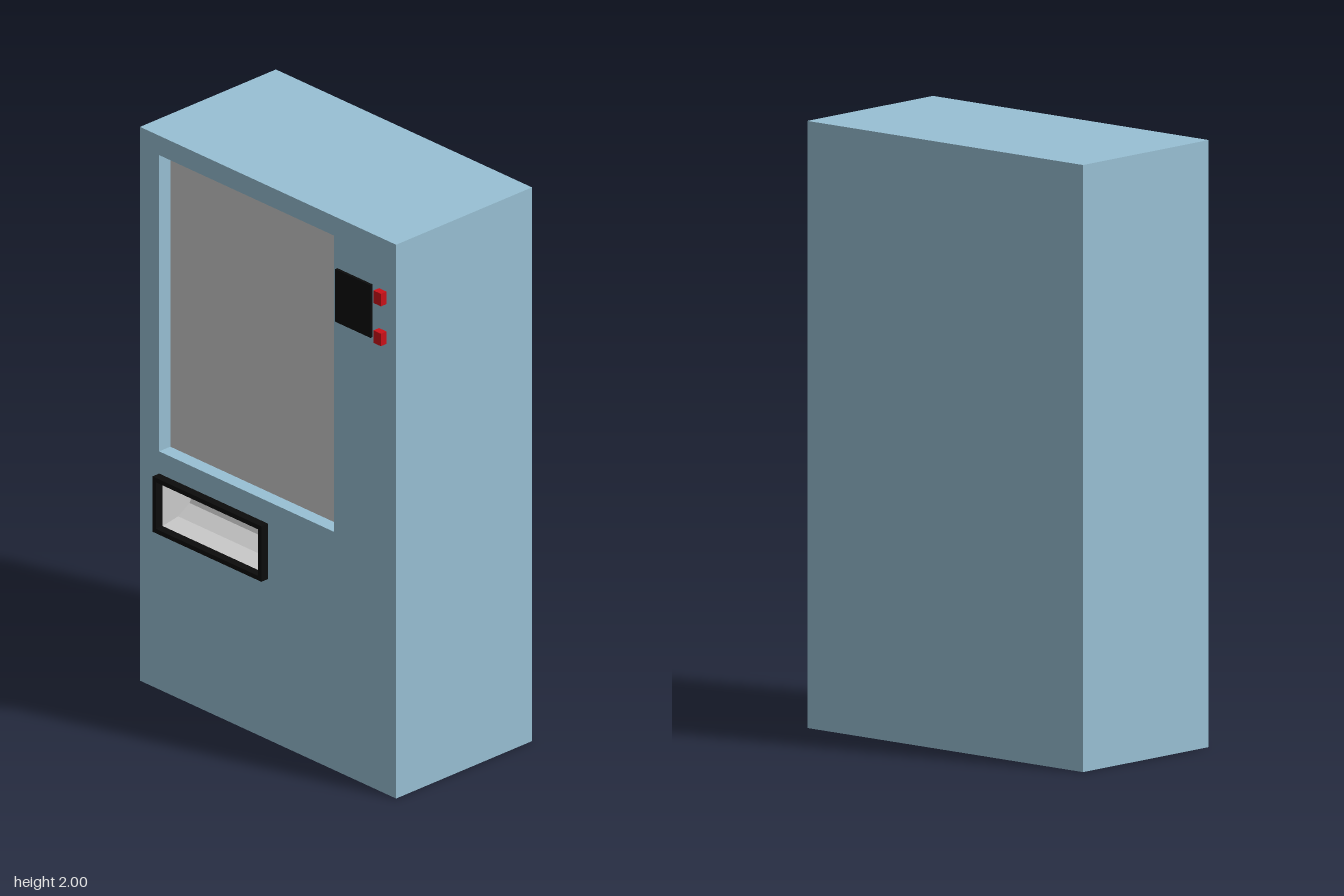
import * as THREE from 'three';

const FRONT = 0.29, BACK = -0.32;
const WINDOW = { x0: -0.51, x1: 0.31, y0: 0.86, y1: 1.93 };
const TRAY = { x0: -0.51, x1: 0, y0: 0.58, y1: 0.78 };
const BAR = 0.016;
const HOLE = { x0: TRAY.x0 + BAR, x1: TRAY.x1 - BAR, y0: TRAY.y0 + BAR, y1: TRAY.y1 - BAR };

const paint = (color, side = THREE.FrontSide) =>
  new THREE.MeshStandardMaterial({ color, side, flatShading: true });

function rect(Type, { x0, x1, y0, y1 }) {
  return new Type([[x0, y0], [x1, y0], [x1, y1], [x0, y1]].map(p => new THREE.Vector2(...p)));
}

// Box between two corners, keeping only the listed sides (0..5: +x -x +y -y +z -z)
function boxSides({ x0, x1, y0, y1 }, z0, z1, sides = [0, 1, 2, 3, 4, 5]) {
  const g = new THREE.BoxGeometry(x1 - x0, y1 - y0, z1 - z0);
  const index = Array.from(g.index.array);
  g.setIndex(sides.flatMap(s => index.slice(s * 6, s * 6 + 6)));
  g.clearGroups();
  return g.translate((x0 + x1) / 2, (y0 + y1) / 2, (z0 + z1) / 2);
}

export function createModel() {
  const model = new THREE.Group();
  const add = (name, geometry, material) => {
    const mesh = new THREE.Mesh(geometry, material);
    mesh.name = name;
    model.add(mesh);
  };

  const blue = 0x98c0d4;
  const black = paint(0x0c0c0c);
  const red = paint(0xcc1018);

  // Cabinet: open-fronted shell and a front panel with two openings
  const outline = { x0: -0.6, x1: 0.6, y0: 0, y1: 2 };
  add('cabinetShell', boxSides(outline, BACK, FRONT, [0, 1, 2, 3, 5]), paint(blue));
  const panel = rect(THREE.Shape, outline);
  panel.holes.push(rect(THREE.Path, WINDOW), rect(THREE.Path, HOLE));
  add('frontPanel', new THREE.ShapeGeometry(panel).translate(0, 0, FRONT), paint(blue));

  // Recessed display window
  const paneZ = FRONT - 0.05;
  add('windowReveal', boxSides(WINDOW, paneZ, FRONT, [0, 1, 2, 3]), paint(blue, THREE.BackSide));
  add('windowPane', new THREE.ShapeGeometry(rect(THREE.Shape, WINDOW)).translate(0, 0, paneZ), paint(0xc0c0c0));

  // Delivery tray: raised frame around a rounded trough
  const frame = rect(THREE.Shape, TRAY);
  frame.holes.push(rect(THREE.Path, HOLE));
  add('trayFrame', new THREE.ExtrudeGeometry(frame, { depth: 0.03, bevelEnabled: false })
    .translate(0, 0, FRONT), black);
  const trough = new THREE.CylinderGeometry(1, 1, HOLE.x1 - HOLE.x0, 6, 1, false, Math.PI / 2, Math.PI)
    .rotateZ(Math.PI / 2)
    .scale(1, (HOLE.y1 - HOLE.y0) / 2, 0.14)
    .translate((HOLE.x0 + HOLE.x1) / 2, (HOLE.y0 + HOLE.y1) / 2, FRONT);
  add('trayTrough', trough, paint(0xcccccc, THREE.DoubleSide));

  // Control pad and its two buttons
  add('controlPad', boxSides({ x0: 0.325, x1: 0.49, y0: 1.628, y1: 1.818 }, FRONT, 0.30), black);
  [['upperButton', 1.77], ['lowerButton', 1.626]].forEach(([name, y]) =>
    add(name, boxSides({ x0: 0.52, x1: 0.555, y0: y, y1: y + 0.045 }, FRONT, 0.315), red));

  return model;
}
